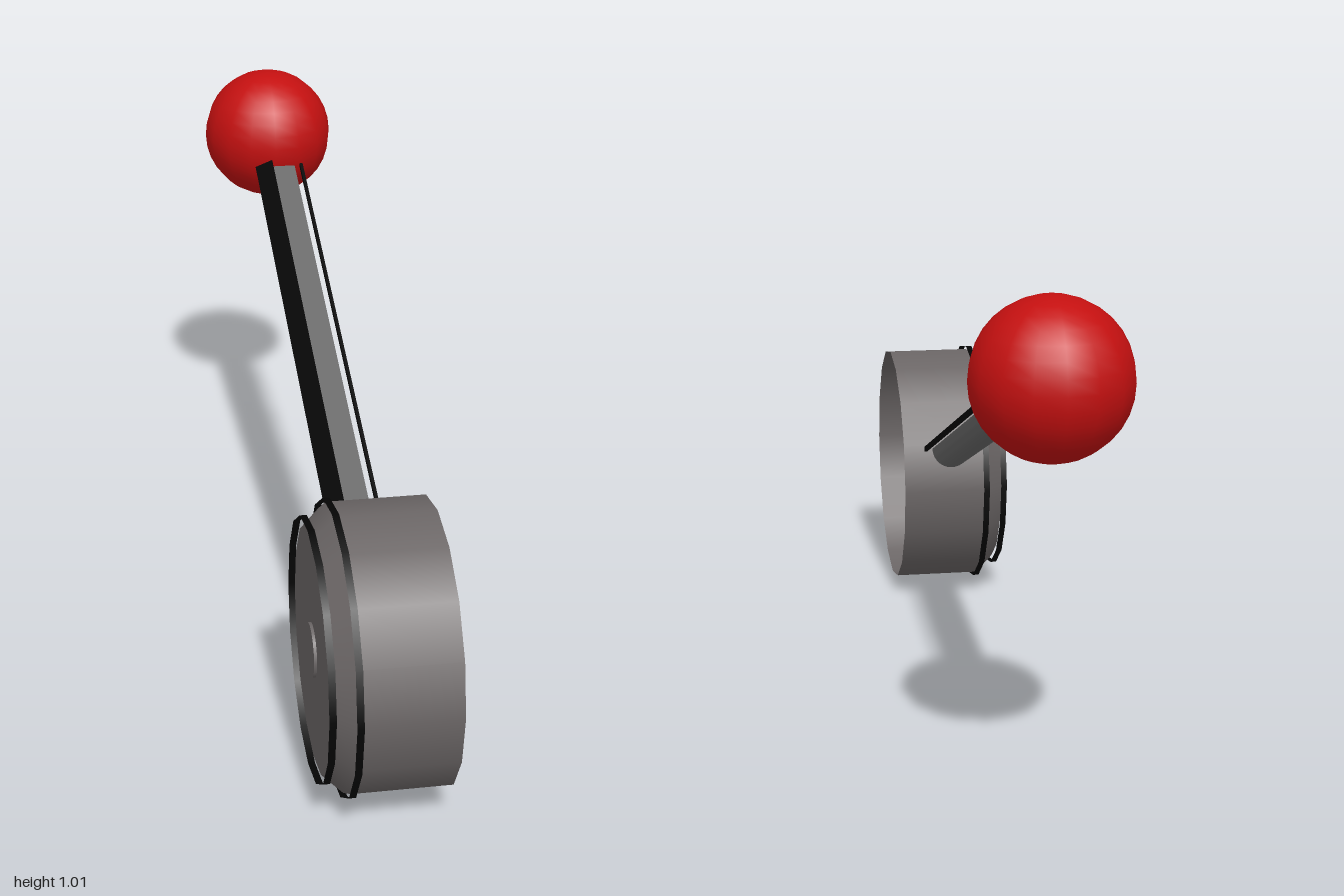
import * as THREE from 'three';
import { toCreasedNormals } from 'three/addons/utils/BufferGeometryUtils.js';

const SIDES = 16;
const ROD_LENGTH = 1.25;

function material(color) {
  return new THREE.MeshStandardMaterial({ color, side: THREE.DoubleSide });
}

export function createModel() {
  const model = new THREE.Group();
  const steel = material(0x6b6666);
  const rodGrey = material(0x6a6a6a);
  const black = material(0x050505);
  const red = material(0xc41010);

  function add(parent, name, geometry, mat) {
    const mesh = new THREE.Mesh(geometry, mat);
    mesh.name = name;
    parent.add(mesh);
    return mesh;
  }

  // Open-ended round band along x, with a radius at each end
  function band(name, x0, r0, x1, r1, mat) {
    const g = new THREE.CylinderGeometry(r1, r0, x1 - x0, SIDES, 1, true);
    g.rotateZ(-Math.PI / 2).translate((x0 + x1) / 2, 0, 0);
    return add(hub, name, g, mat);
  }

  // Hub: shallow cup, open towards +x
  const hub = new THREE.Group();
  hub.name = 'hub';
  hub.position.set(0, 0.297, 0.71);
  model.add(hub);
  band('hubWall', -0.085, 0.288, 0.115, 0.288, steel);
  band('hubBevel', -0.127, 0.248, -0.085, 0.288, steel);
  const plate = new THREE.CircleGeometry(0.248, SIDES);
  plate.rotateZ(Math.PI / 2).rotateY(-Math.PI / 2).translate(-0.127, 0, 0);
  add(hub, 'hubPlate', plate, steel);
  const pivot = new THREE.CylinderGeometry(0.055, 0.055, 0.006, SIDES);
  pivot.rotateZ(Math.PI / 2).translate(-0.131, 0, 0);
  add(hub, 'pivotCap', pivot, steel);

  // Thin dark trim rings standing just off the rims
  band('outerTrimRing', -0.138, 0.265, -0.124, 0.265, black);
  band('innerTrimRing', -0.091, 0.296, -0.077, 0.296, black);

  // Lever: flat-topped rod with a rounded underside, rising to the back
  const lever = new THREE.Group();
  lever.name = 'lever';
  lever.position.set(0, 0.372, 0.475);
  lever.rotation.x = 0.352;
  model.add(lever);

  function halfRound(radius, top) {
    const shape = new THREE.Shape();
    shape.moveTo(radius, top);
    shape.lineTo(-radius, top);
    shape.absarc(0, top, radius, Math.PI, Math.PI * 2, false);
    return shape;
  }
  const rod = new THREE.ExtrudeGeometry(halfRound(0.046, 0.014), {
    depth: ROD_LENGTH, bevelEnabled: false, curveSegments: 8,
  });
  rod.translate(0, 0, -ROD_LENGTH);
  add(lever, 'rod', toCreasedNormals(rod, 0.7), rodGrey);

  // Dark edge strips along both sides of the flat top
  const leftEdge = add(lever, 'wideEdgeStrip', new THREE.BoxGeometry(0.044, 0.003, ROD_LENGTH), black);
  leftEdge.position.set(-0.03, 0.023, -ROD_LENGTH / 2);
  leftEdge.rotation.z = 0.45;
  const rightEdge = add(lever, 'narrowEdgeStrip', new THREE.BoxGeometry(0.007, 0.011, ROD_LENGTH), black);
  rightEdge.position.set(0.062, 0.014, -ROD_LENGTH / 2);

  // Ball knob
  const knob = add(model, 'knob', new THREE.SphereGeometry(0.155, SIDES, 16), red);
  knob.position.set(0, 0.856, -0.845);

  return model;
}
